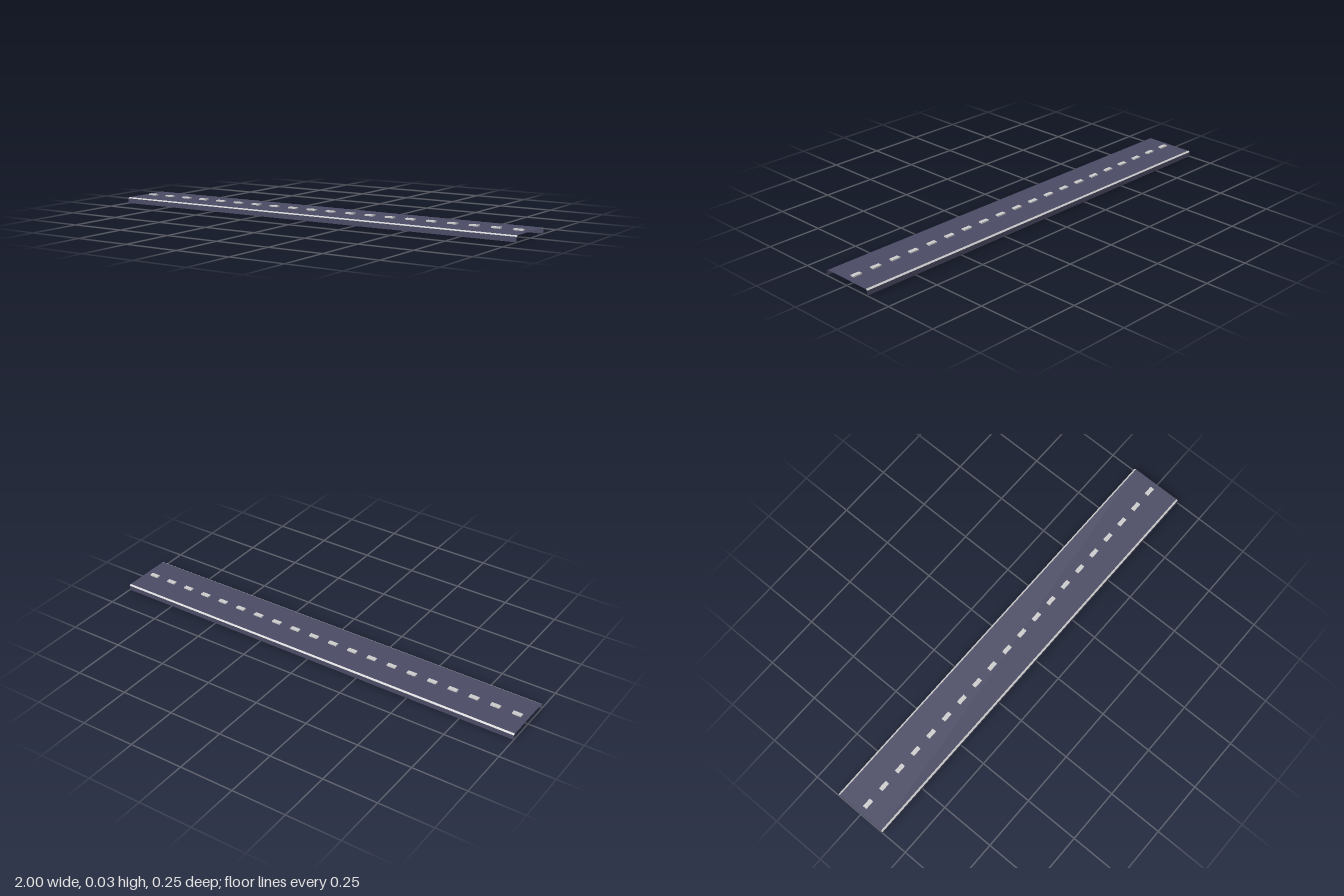
import * as THREE from 'three';

const LENGTH = 2;
const DECK_Y = 0.027;

export function createModel() {
  const model = new THREE.Group();
  const asphalt = new THREE.MeshStandardMaterial({ color: 0x4a4a64, side: THREE.DoubleSide });
  const grey = new THREE.MeshStandardMaterial({ color: 0xcccccc, side: THREE.DoubleSide });

  // Thin sheet running the full length between two (y, z) points
  function strip(name, [y0, z0], [y1, z1], material) {
    const geometry = new THREE.PlaneGeometry(LENGTH, Math.hypot(y1 - y0, z1 - z0));
    geometry.rotateX(Math.atan2(z1 - z0, y1 - y0));
    geometry.translate(0, (y0 + y1) / 2, (z0 + z1) / 2);
    const mesh = new THREE.Mesh(geometry, material);
    mesh.name = name;
    model.add(mesh);
  }

  // Flat road deck
  strip('roadDeck', [DECK_Y, 0.117], [DECK_Y, -0.117], asphalt);

  // Sloped edge strips and the skirts hanging below them
  for (const [side, s] of [['front', 1], ['back', -1]]) {
    strip(side + 'EdgeStrip', [0.022, s * 0.125], [DECK_Y, s * 0.117], grey);
    strip(side + 'Skirt', [0, s * 0.125], [0.022, s * 0.125], asphalt);
  }

  // Row of raised centre line markers, let into the deck
  const markers = new THREE.Group();
  markers.name = 'centreLine';
  const markerGeometry = new THREE.BoxGeometry(0.042, 0.011, 0.019);
  for (let i = 0; i < 20; i++) {
    const marker = new THREE.Mesh(markerGeometry, grey);
    marker.name = 'lineMarker';
    marker.position.set(-0.95 + i * 0.1, 0.0275, 0);
    markers.add(marker);
  }
  model.add(markers);

  return model;
}
